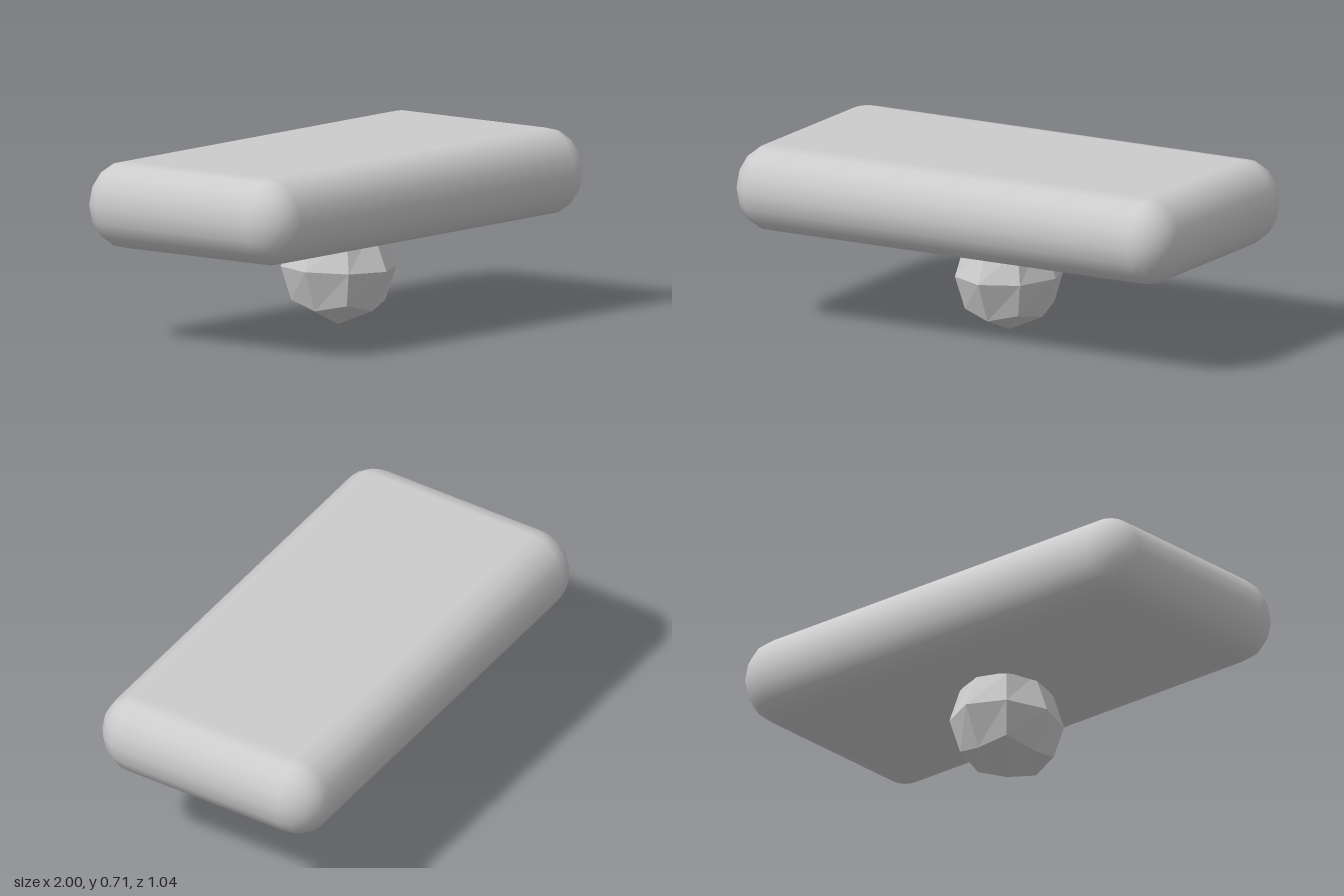
import * as THREE from 'three';

const STEPS = 4; // facets per quarter turn of rounding

// Rounded slab: corner ellipsoid octants pushed apart, joined ring by ring.
function roundedSlab(half, radius) {
  const positions = [], normals = [], index = [];
  const perCorner = STEPS + 1, perRing = 4 * perCorner, rings = 2 * STEPS;
  const core = half.clone().sub(radius);
  const n = new THREE.Vector3();
  for (let k = 0; k <= rings; k++) {
    const phi = (k * Math.PI) / rings;
    for (let corner = 0; corner < 4; corner++) {
      const sx = corner === 0 || corner === 3 ? 1 : -1;
      const sz = corner < 2 ? 1 : -1;
      for (let j = 0; j <= STEPS; j++) {
        const theta = ((corner + j / STEPS) * Math.PI) / 2;
        n.set(Math.sin(phi) * Math.cos(theta), Math.cos(phi), Math.sin(phi) * Math.sin(theta));
        positions.push(sx * core.x + n.x * radius.x, n.y * radius.y, sz * core.z + n.z * radius.z);
        n.divide(radius).normalize();
        normals.push(n.x, n.y, n.z);
      }
    }
  }
  for (let k = 0; k < rings; k++) {
    for (let j = 0; j < perRing; j++) {
      const a = k * perRing + j, b = k * perRing + ((j + 1) % perRing);
      const c = b + perRing, d = a + perRing;
      index.push(a, b, c, a, c, d);
    }
  }
  // Flat top and bottom
  const [p, q, r, s] = [0, 1, 2, 3].map((i) => i * perCorner);
  const base = rings * perRing;
  index.push(p, r, q, p, s, r);
  index.push(base + p, base + q, base + r, base + p, base + r, base + s);

  const geometry = new THREE.BufferGeometry();
  geometry.setAttribute('position', new THREE.Float32BufferAttribute(positions, 3));
  geometry.setAttribute('normal', new THREE.Float32BufferAttribute(normals, 3));
  geometry.setIndex(index);
  return geometry;
}

// Low-poly ball: a 2 x 2 x 2 box with its vertices pushed onto an ellipsoid.
function facetedBall(rx, ry, rz) {
  const box = new THREE.BoxGeometry(2, 2, 2, 2, 2, 2).toNonIndexed();
  const position = box.attributes.position;
  const v = new THREE.Vector3();
  for (let i = 0; i < position.count; i++) {
    v.fromBufferAttribute(position, i).normalize();
    position.setXYZ(i, v.x * rx, v.y * ry, v.z * rz);
  }
  box.computeVertexNormals();
  return box;
}

export function createModel() {
  const model = new THREE.Group();
  model.name = 'slabOnBall';

  const grey = new THREE.MeshStandardMaterial({ color: 0xcccccc });
  grey.name = 'lightGrey';

  // Rounded slab
  const slab = new THREE.Mesh(
    roundedSlab(new THREE.Vector3(1, 0.173, 0.52), new THREE.Vector3(0.145, 0.173, 0.16)),
    grey
  );
  slab.name = 'slab';
  slab.position.set(0, 0.542, 0);
  model.add(slab);

  // Faceted ball under the slab, its top sunk inside
  const ball = new THREE.Mesh(facetedBall(0.21, 0.23, 0.243), grey);
  ball.name = 'ball';
  ball.position.set(0.01, 0.23, 0.004);
  model.add(ball);

  return model;
}
